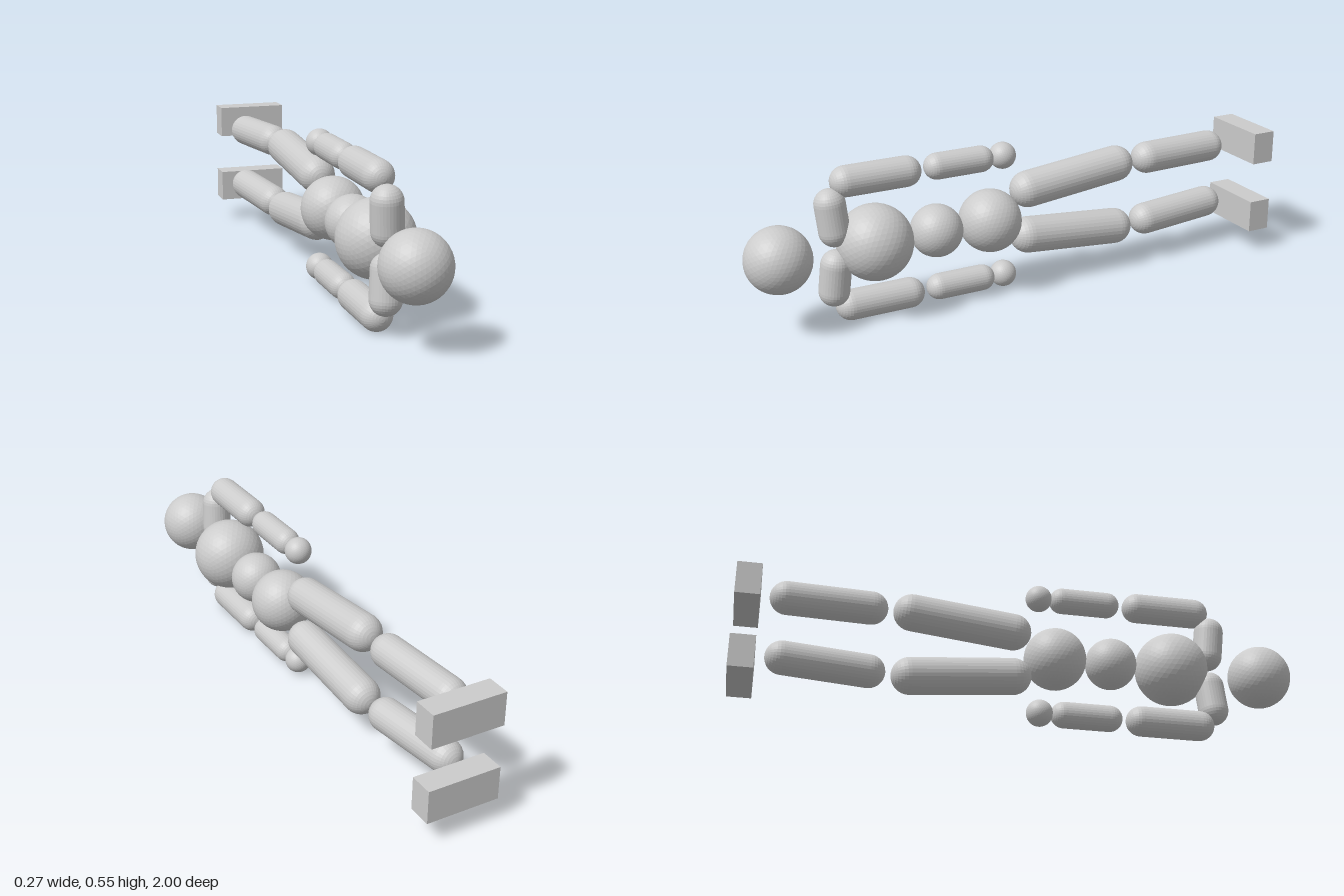
import * as THREE from 'three';

const material = new THREE.MeshStandardMaterial({ color: 0xcccccc, flatShading: true });

export function createModel() {
  const model = new THREE.Group();
  model.name = 'lyingFigure';

  function add(parent, name, geometry, x, y, z) {
    const mesh = new THREE.Mesh(geometry, material);
    mesh.name = name;
    mesh.position.set(x, y, z);
    parent.add(mesh);
    return mesh;
  }

  function ball(parent, name, r, x, y, z) {
    return add(parent, name, new THREE.IcosahedronGeometry(r, 7), x, y, z);
  }

  // Rounded limb running between the centres of its two end caps
  function limb(parent, name, r, from, to) {
    const a = new THREE.Vector3(...from);
    const b = new THREE.Vector3(...to);
    const dir = b.clone().sub(a);
    const mid = a.clone().add(b).multiplyScalar(0.5);
    const mesh = add(parent, name, new THREE.CapsuleGeometry(r, dir.length(), 8, 32), mid.x, mid.y, mid.z);
    mesh.quaternion.setFromUnitVectors(new THREE.Vector3(0, 1, 0), dir.normalize());
  }

  // Head and torso, lying along z with the head at the front
  ball(model, 'head', 0.113, 0.002, 0.276, 0.887);
  ball(model, 'chest', 0.131, 0.002, 0.276, 0.552);
  ball(model, 'abdomen', 0.092, 0.002, 0.276, 0.327);
  ball(model, 'pelvis', 0.111, 0.002, 0.276, 0.123);

  // Arms and legs, mirrored above and below the body axis
  for (const [side, s] of [['upper', 1], ['lower', -1]]) {
    const arm = new THREE.Group();
    arm.name = side + 'SideArm';
    const ay = (d) => 0.2745 + s * d;
    limb(arm, 'shoulder', 0.053, [-0.012, ay(0.06), 0.687], [-0.018, ay(0.154), 0.696]);
    limb(arm, 'upperArm', 0.053, [-0.026, ay(0.221), 0.636], [-0.026, ay(0.221), 0.422]);
    limb(arm, 'forearm', 0.046, [-0.026, ay(0.221), 0.308], [-0.026, ay(0.221), 0.144]);
    ball(arm, 'hand', 0.047, -0.026, ay(0.221), 0.059);
    model.add(arm);

    const leg = new THREE.Group();
    leg.name = side + 'SideLeg';
    const ly = (d) => 0.277 + s * d;
    limb(leg, 'thigh', 0.065, [-0.008, ly(0.086), -0.031], [-0.016, ly(0.121), -0.393]);
    limb(leg, 'shin', 0.058, [-0.024, ly(0.12), -0.535], [-0.055, ly(0.112), -0.826]);
    add(leg, 'foot', new THREE.BoxGeometry(0.259, 0.117, 0.085), -0.006, ly(0.134), -0.9575);
    model.add(leg);
  }

  return model;
}
